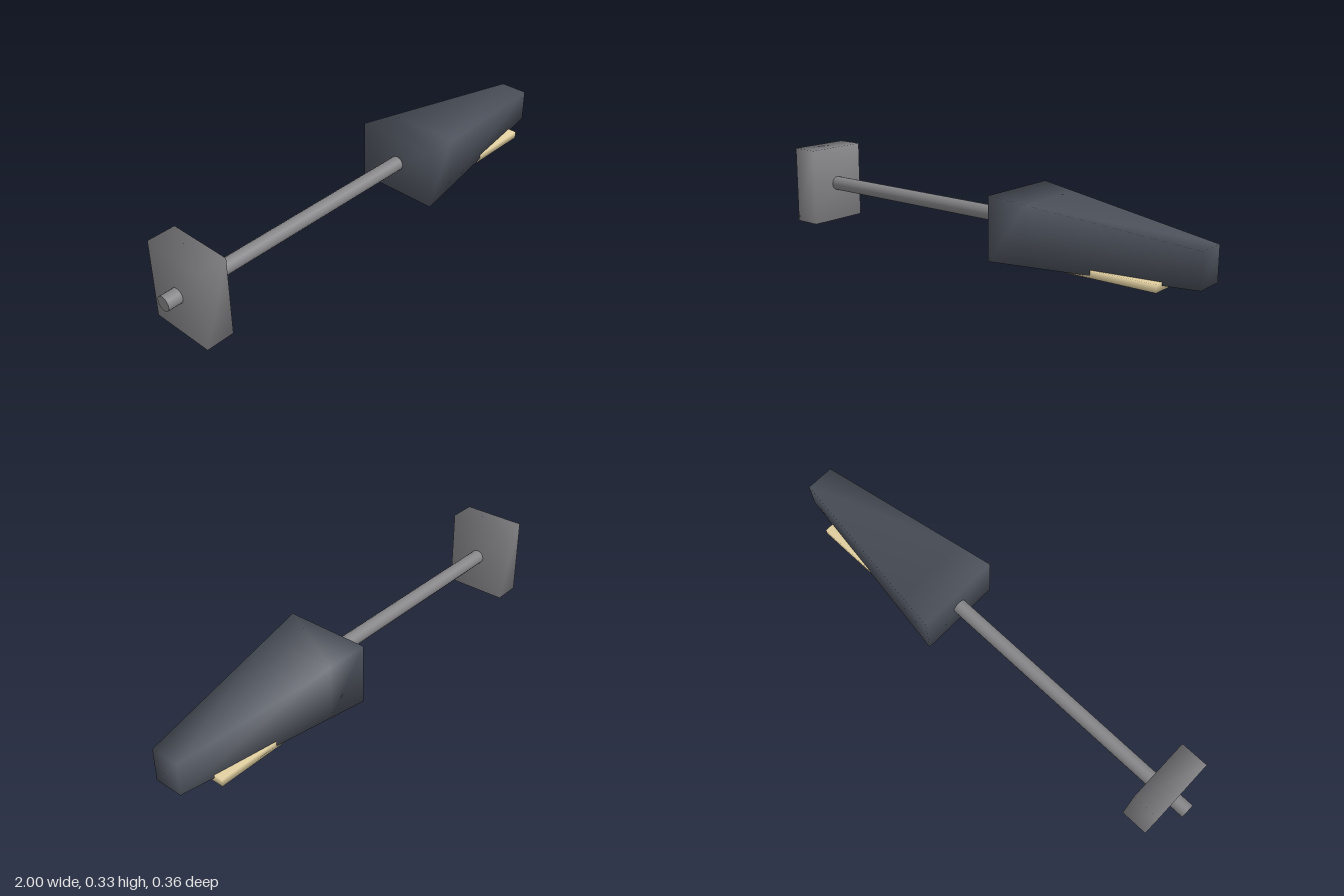
import * as THREE from 'three';
import { mergeVertices } from 'three/addons/utils/BufferGeometryUtils.js';

// Weld the corners so shading runs smoothly around the edges
function soften(geometry) {
  geometry.deleteAttribute('normal');
  geometry.deleteAttribute('uv');
  const welded = mergeVertices(geometry);
  welded.computeVertexNormals();
  return welded;
}

function softBox(x0, x1, y0, y1, halfZ) {
  const g = new THREE.BoxGeometry(x1 - x0, y1 - y0, halfZ * 2);
  g.translate((x0 + x1) / 2, (y0 + y1) / 2, 0);
  return soften(g);
}

// Box tapering along x from a wide section to a narrow one
function taperedHead() {
  const g = new THREE.BoxGeometry(1, 1, 1, 2, 1, 1);
  const p = g.attributes.position;
  const lerp = THREE.MathUtils.lerp;
  for (let i = 0; i < p.count; i++) {
    const px = p.getX(i);
    const t = px < -0.25 ? 0 : px < 0.25 ? 0.19 : 1;
    const y = p.getY(i) > 0 ? lerp(0.282, 0.19, t) : lerp(0.03, 0.054, t);
    p.setXYZ(i, lerp(0.187, 1, t), y, Math.sign(p.getZ(i)) * lerp(0.178, 0.06, t));
  }
  return soften(g);
}

export function createModel() {
  const group = new THREE.Group();
  const add = (name, geometry, color) => {
    const mesh = new THREE.Mesh(geometry, new THREE.MeshStandardMaterial({ color }));
    mesh.name = name;
    group.add(mesh);
  };

  // End block and the rod passing through it
  add('endBlock', softBox(-0.94, -0.825, 0, 0.327, 0.134), 0x858588);
  const rod = new THREE.CylinderGeometry(0.03, 0.03, 1.22, 16);
  rod.rotateZ(Math.PI / 2).translate(-0.39, 0.165, 0);
  add('rod', rod, 0x858588);

  // Tapered head with the flat plate set in its underside
  add('taperedHead', taperedHead(), 0x4c515b);
  add('undersidePlate', softBox(0.28, 0.865, 0.033, 0.063, 0.118), 0xe0cfa0);

  return group;
}
